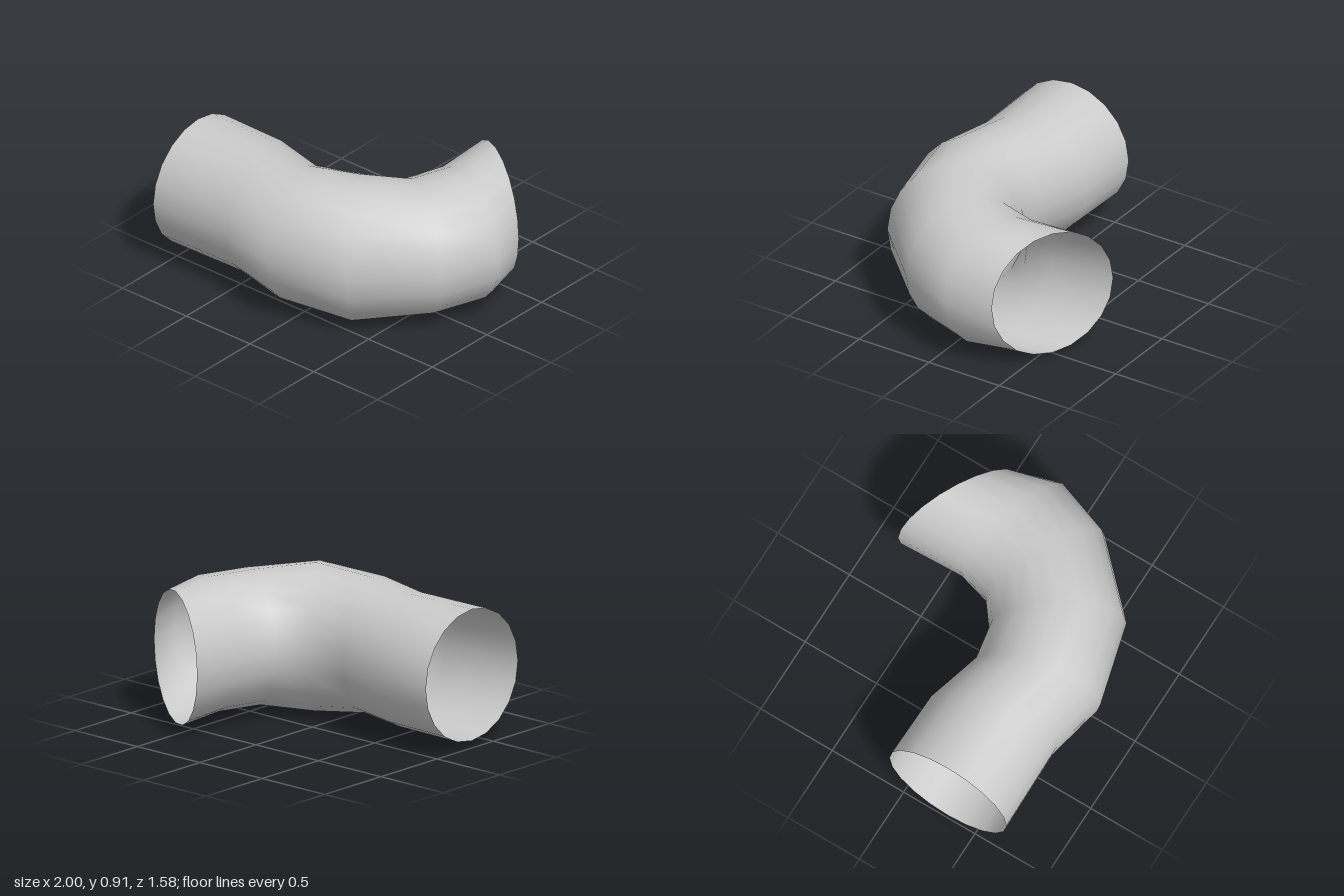
import * as THREE from 'three';

const SIDES = 20;
const CENTRE_Y = 0.455;

// Cross-sections along the bend: inner x, z, outer x, z, half height
const RINGS = [
  [-1.0, -0.1, -1.0, 0.72, 0.408],
  [-0.58, -0.09, -0.43, 0.71, 0.405],
  [-0.23, 0.01, -0.05, 0.79, 0.412],
  [0.01, -0.03, 0.47, 0.65, 0.453],
  [0.16, -0.145, 0.87, 0.25, 0.413],
  [0.225, -0.37, 1.0, -0.11, 0.412],
  [0.21, -0.79, 0.915, -0.39, 0.408],
];

// Skin the elliptical rings into one smooth open tube
function elbowGeometry() {
  const positions = [];
  const index = [];
  RINGS.forEach(([ix, iz, ox, oz, half], i) => {
    for (let j = 0; j < SIDES; j++) {
      const a = (j / SIDES) * Math.PI * 2;
      const c = Math.cos(a) / 2;
      positions.push(
        (ix + ox) / 2 + (ox - ix) * c,
        CENTRE_Y + half * Math.sin(a),
        (iz + oz) / 2 + (oz - iz) * c,
      );
      if (i === RINGS.length - 1) continue;
      const k = (j + 1) % SIDES;
      const p = i * SIDES + j, q = i * SIDES + k;
      index.push(p, p + SIDES, q, q, p + SIDES, q + SIDES);
    }
  });
  const geometry = new THREE.BufferGeometry();
  geometry.setAttribute('position', new THREE.Float32BufferAttribute(positions, 3));
  geometry.setIndex(index);
  geometry.computeVertexNormals();
  return geometry;
}

export function createModel() {
  const group = new THREE.Group();
  group.name = 'bentPipe';
  // Thin pipe wall, open at both ends
  const material = new THREE.MeshStandardMaterial({ color: 0xcccccc, side: THREE.DoubleSide });
  const pipe = new THREE.Mesh(elbowGeometry(), material);
  pipe.name = 'pipeElbow';
  group.add(pipe);
  return group;
}
